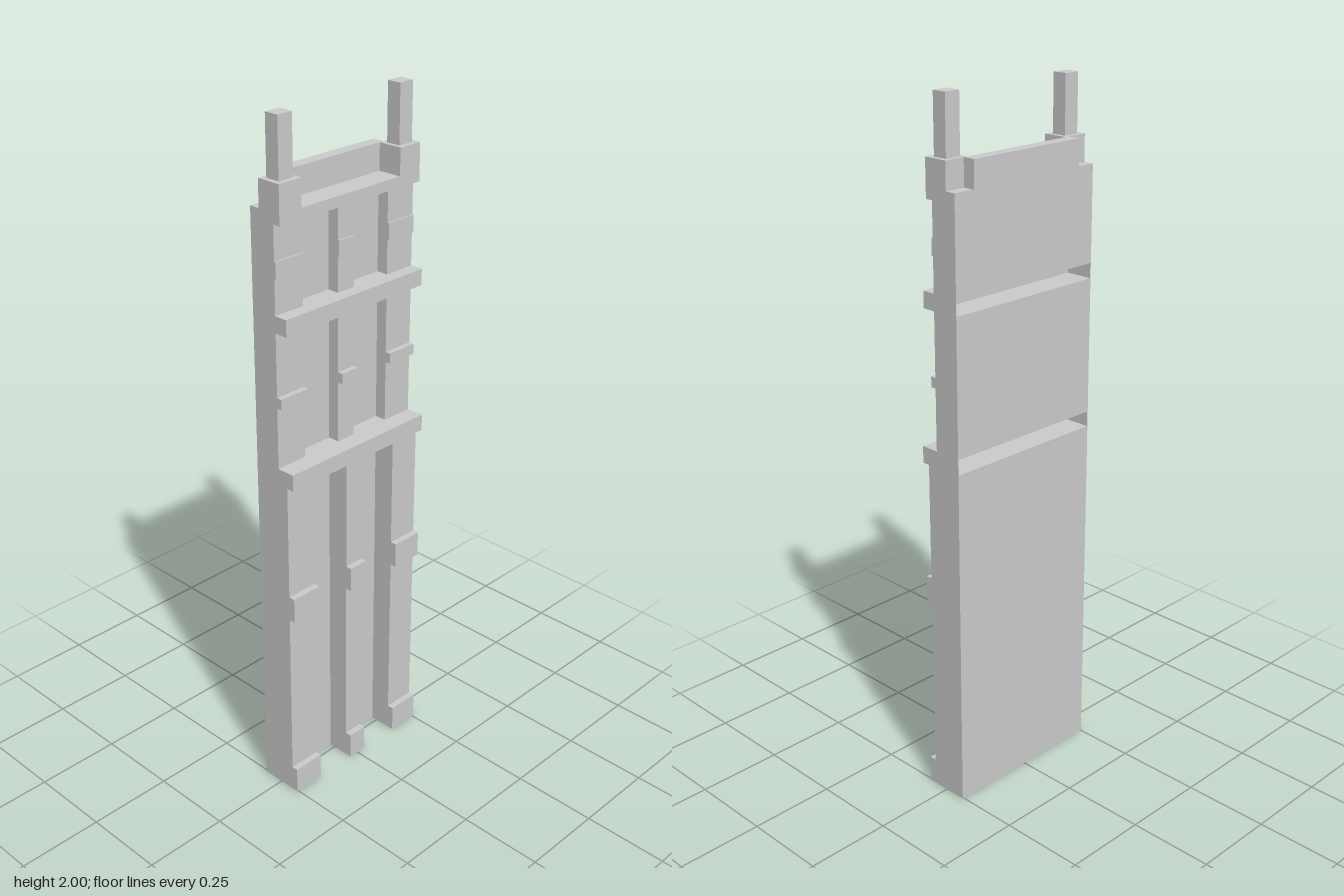
import * as THREE from 'three';

const W = 0.254;       // half width
const BACK = -0.066;   // rear plane
const BAY = -0.018;    // recessed bay plane

export function createModel() {
  const model = new THREE.Group();
  const mat = new THREE.MeshStandardMaterial({ color: 0xcccccc, flatShading: true });

  const add = (name, geometry) => {
    const mesh = new THREE.Mesh(geometry, mat);
    mesh.name = name;
    model.add(mesh);
  };
  const box = (name, x0, x1, y0, y1, z0, z1) => {
    const g = new THREE.BoxGeometry(x1 - x0, y1 - y0, z1 - z0);
    g.translate((x0 + x1) / 2, (y0 + y1) / 2, (z0 + z1) / 2);
    add(name, g);
  };
  const extrude = (points, depth) => new THREE.ExtrudeGeometry(
    new THREE.Shape(points.map(([a, b]) => new THREE.Vector2(a, b))),
    { depth, bevelEnabled: false });

  // Wall section: a ribbed plan outline with three pilasters, extruded upward
  const wall = (name, y0, y1, front) => {
    const plan = [
      [-W, BACK], [W, BACK], [W, front], [0.157, front], [0.157, BAY], [0.03, BAY], [0.03, front],
      [-0.03, front], [-0.03, BAY], [-0.157, BAY], [-0.157, front], [-W, front],
    ];
    const g = extrude(plan.map(([x, z]) => [x, -z]), y1 - y0);
    g.rotateX(-Math.PI / 2);
    g.translate(0, y0, 0);
    add(name, g);
  };
  wall('lowerWall', 0, 1.01, 0.048);
  wall('middleWall', 1.058, 1.445, 0.016);
  wall('upperWall', 1.492, 1.732, 0.016);

  // Horizontal bands: channels open to the rear, closed at the ends
  const band = (name, y0, y1, front, inner) => {
    const t = 0.002;
    const g = extrude([
      [BACK, y0], [front, y0], [front, y1], [BACK, y1],
      [BACK, y1 - t], [inner, y1 - t], [inner, y0 + t], [BACK, y0 + t],
    ], 2 * W);
    g.rotateY(-Math.PI / 2);
    g.translate(W, 0, 0);
    add(name, g);
    for (const s of [-1, 1]) {
      const x = s * (W - t / 2);
      box(name + 'End', x - t / 2, x + t / 2, y0 + t, y1 - t, BACK, inner);
    }
  };
  band('lowerBand', 1.01, 1.058, 0.07, 0.03);
  band('upperBand', 1.445, 1.492, 0.055, 0.016);

  // Raised blocks across each pilaster: bottom, top, rear and front depth
  const blocks = [
    [0, 0.08, 0.047, 0.067], [0.595, 0.67, 0.047, 0.067],
    [1.235, 1.265, 0.015, 0.032], [1.59, 1.636, 0.015, 0.021],
  ];
  for (const [y0, y1, z0, z1] of blocks) {
    for (const [x0, x1] of [[-W, -0.157], [-0.03, 0.03], [0.157, W]]) {
      box('pilasterBlock', x0, x1, y0, y1, z0, z1);
    }
  }

  // Cornice with rear parapet, corner blocks and posts
  box('cornice', -W, W, 1.732, 1.762, BACK, 0.038);
  box('rearParapet', -0.192, 0.192, 1.762, 1.838, -0.071, -0.035);
  for (const s of [-1, 1]) {
    const pair = (a, b) => (s > 0 ? [a, b] : [-b, -a]);
    box('cornerBlock', ...pair(0.178, W), 1.762, 1.838, -0.035, 0.038);
    box('post', ...pair(0.191, 0.239), 1.838, 2, -0.021, 0.022);
  }
  return model;
}
